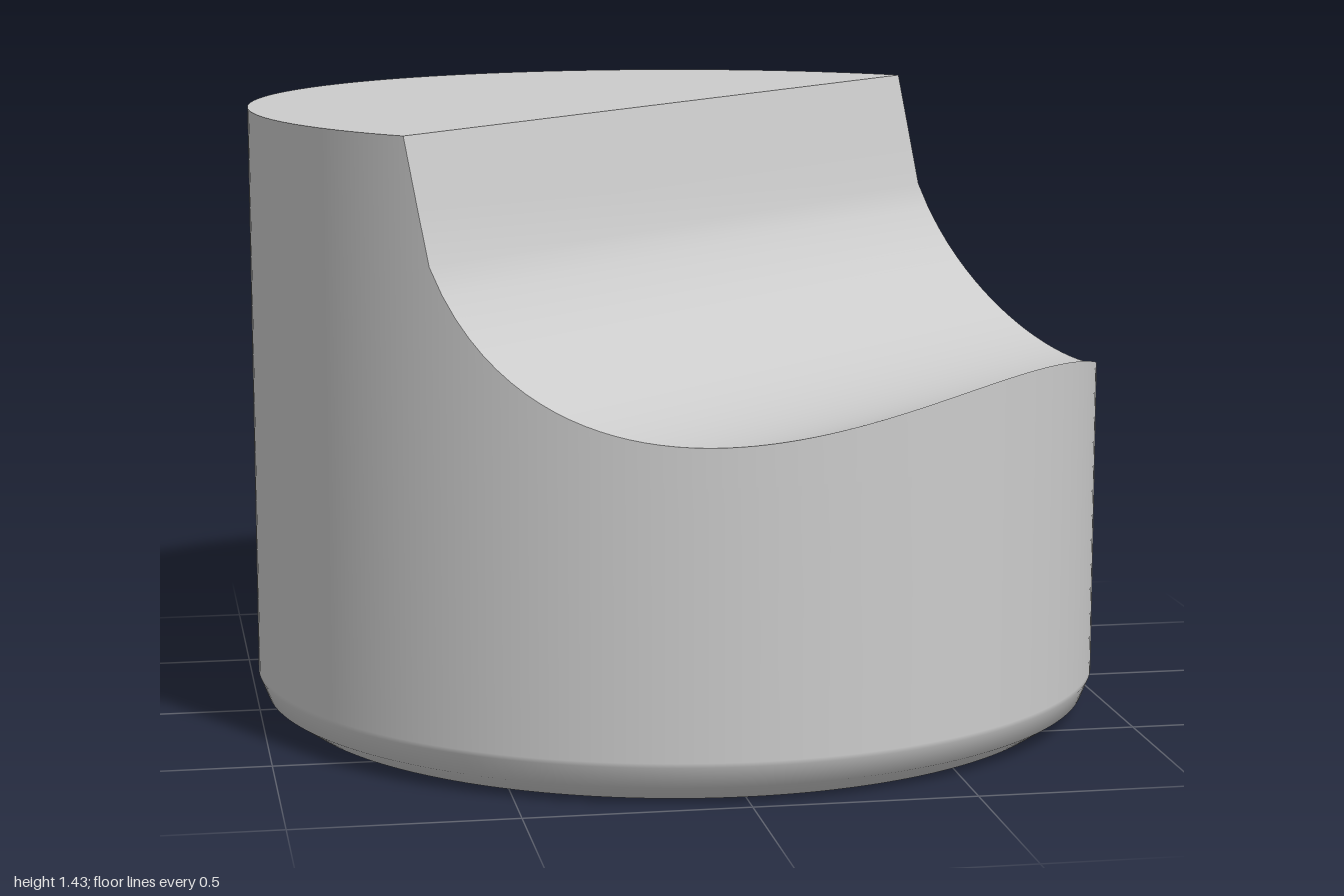
import * as THREE from 'three';

const SEG = 192;          // segments around the body
const TOP = 1.43;         // full height
const SEAM = 0.7;         // where the plain base meets the cut wall
const STEP = (Math.PI * 2) / SEG;

// Height of the cut at distance d from the middle: steep flat lip, then a round trough
function cutHeight(d) {
  const arc = (t) => 1.437 - Math.sqrt(0.65 ** 2 - (t - 0.65) ** 2);
  const lip = Math.sin(2 * STEP);
  if (d <= 0) return TOP;
  return d < lip ? TOP + (arc(lip) - TOP) * (d / lip) : arc(d);
}

// Strip of quads between two edges, one pair of points per step
function strip(count, pair) {
  const pos = [], index = [];
  for (let i = 0; i <= count; i++) {
    const [a, b] = pair(i);
    pos.push(...a, ...b);
    if (i < count) {
      const k = i * 2;
      index.push(k, k + 1, k + 2, k + 1, k + 3, k + 2);
    }
  }
  const geo = new THREE.BufferGeometry();
  geo.setAttribute('position', new THREE.Float32BufferAttribute(pos, 3));
  geo.setIndex(index);
  geo.computeVertexNormals();
  return geo;
}

export function createModel() {
  const group = new THREE.Group();
  const material = new THREE.MeshStandardMaterial({ color: 0xcccccc });
  const add = (name, geo) => {
    const mesh = new THREE.Mesh(geo, material);
    mesh.name = name;
    group.add(mesh);
    return mesh;
  };
  const lathe = (name, pts) =>
    add(name, new THREE.LatheGeometry(pts.map(([x, y]) => new THREE.Vector2(x, y)), SEG));

  // Base: blind hole, flat underside and rounded lower edge
  lathe('holeEnd', [[0, 0.6], [0.35, 0.6]]);
  lathe('holeWall', [[0.35, 0.6], [0.35, 0]]);
  lathe('underside', [[0.35, 0], [0.92, 0]]);
  lathe('lowerBody', [[0.92, 0], [0.98, 0.04], [1, 0.09], [1, 0.1], [1, SEAM]]);

  // Upper wall, its rim following the cut
  const wall = strip(SEG, (i) => {
    const x = Math.cos(i * STEP), z = Math.sin(i * STEP);
    return [[x, SEAM, z], [x, cutHeight(i <= SEG / 2 ? z : 0), z]];
  });
  const p = wall.attributes.position;
  for (let i = 0; i < p.count; i++) wall.attributes.normal.setXYZ(i, p.getX(i), 0, p.getZ(i));
  add('upperWall', wall);

  // Scooped trough across one half
  add('trough', strip(SEG / 4, (i) => {
    const s = Math.cos(i * STEP), d = Math.sin(i * STEP), y = cutHeight(d);
    return [[s, y, d], [-s, y, d]];
  }));

  // Flat half-round top
  const top = add('topFace', new THREE.CircleGeometry(1, SEG / 2, 0, Math.PI).rotateX(-Math.PI / 2));
  top.position.y = TOP;

  // The cut faces diagonally between front and left
  group.rotation.y = Math.PI / 4;
  const model = new THREE.Group();
  model.name = 'scoopedCylinder';
  group.name = 'body';
  model.add(group);
  return model;
}
